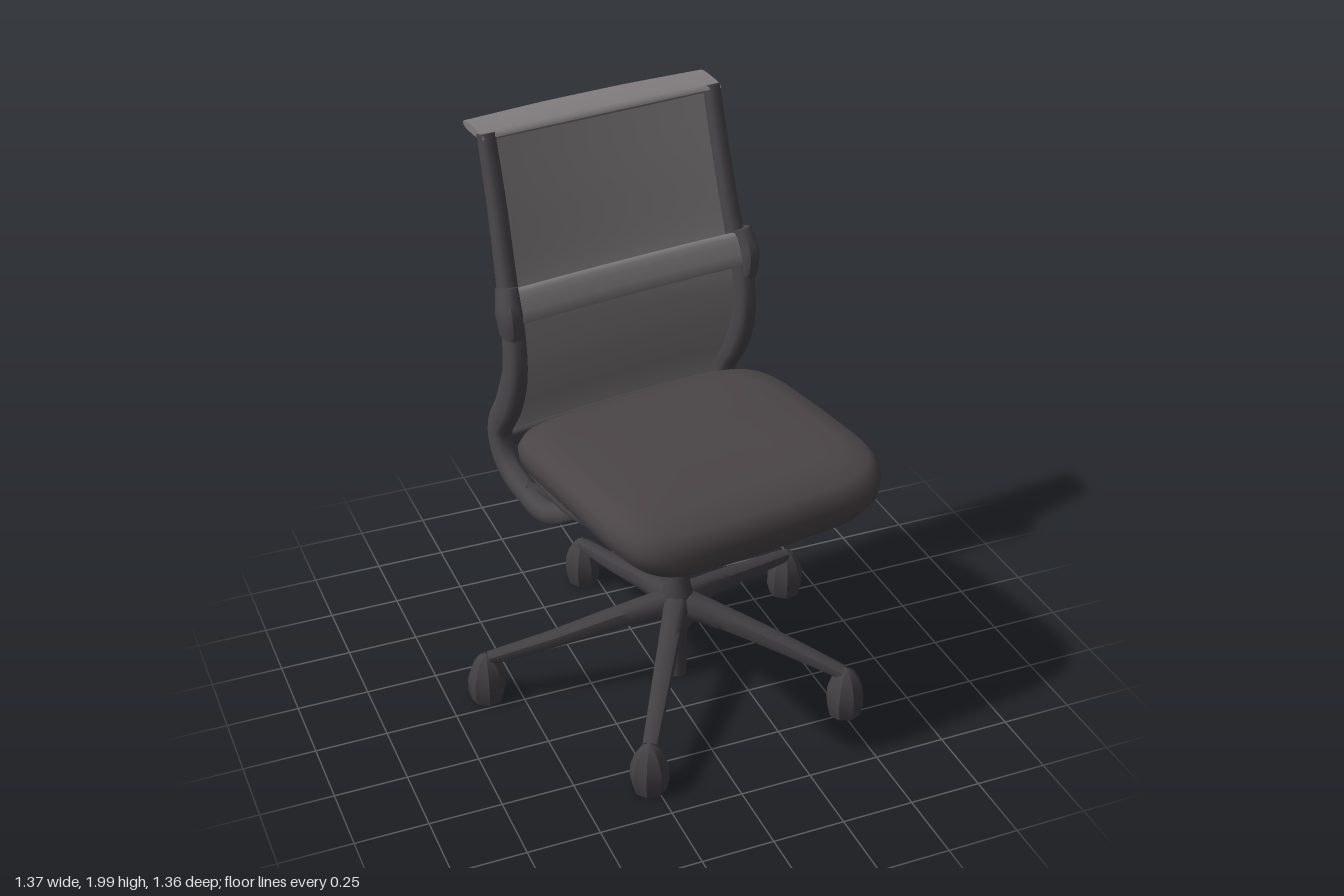
import * as THREE from 'three';
import { toCreasedNormals } from 'three/addons/utils/BufferGeometryUtils.js';

const V = (x, y, z) => new THREE.Vector3(x, y, z);
const material = (color) => new THREE.MeshStandardMaterial({ color, side: THREE.DoubleSide });
const FRAME = material(0x4a474b), MESH = material(0x827e80), SEAT = material(0x4b4547), BASE = material(0x434044);

function add(parent, name, geometry, mat, x = 0, y = 0, z = 0) {
  const mesh = new THREE.Mesh(geometry, mat);
  mesh.name = name;
  mesh.position.set(x, y, z);
  parent.add(mesh);
  return mesh;
}

// Skin a stack of closed rings; both ends are capped.
function loft(rings, crease = 0.8) {
  const centre = (r) => {
    const c = r.reduce((s, p) => s.add(p), V(0, 0, 0)).divideScalar(r.length);
    return r.map(() => c);
  };
  const all = [centre(rings[0]), ...rings, centre(rings[rings.length - 1])];
  const n = rings[0].length, pos = [], index = [];
  all.forEach((r) => r.forEach((p) => pos.push(p.x, p.y, p.z)));
  for (let i = 0; i < all.length - 1; i++) for (let j = 0; j < n; j++) {
    const k = (j + 1) % n, a = i * n + j, b = i * n + k;
    index.push(a, b, b + n, a, b + n, a + n);
  }
  const g = new THREE.BufferGeometry();
  g.setAttribute('position', new THREE.Float32BufferAttribute(pos, 3));
  g.setIndex(index);
  return toCreasedNormals(g, crease);
}

const power = (t, e) => Math.sign(t) * Math.abs(t) ** e;

// Sweep a rounded section along a curve; sizes are [half width along side, half thickness].
function sweep(points, side, sizes, steps = 32, sides = 14) {
  const curve = new THREE.CatmullRomCurve3(points), rings = [];
  for (let i = 0; i <= steps; i++) {
    const t = i / steps, f = t * (sizes.length - 1), k = Math.min(Math.floor(f), Math.max(sizes.length - 2, 0));
    const s0 = sizes[k], s1 = sizes[Math.min(k + 1, sizes.length - 1)], m = f - k;
    const T = curve.getTangent(t), S = side.clone().addScaledVector(T, -side.dot(T)).normalize();
    const N = T.clone().cross(S), P = curve.getPoint(t), ring = [];
    for (let j = 0; j < sides; j++) {
      const a = (j / sides) * Math.PI * 2;
      ring.push(P.clone()
        .addScaledVector(S, power(Math.cos(a), 0.7) * THREE.MathUtils.lerp(s0[0], s1[0], m))
        .addScaledVector(N, power(Math.sin(a), 0.7) * THREE.MathUtils.lerp(s0[1], s1[1], m)));
    }
    rings.push(ring);
  }
  return loft(rings);
}

// Rounded-square pad from levels [y, half width, z back, z front], drooping at front and back.
function pad(levels, droop = 0, sides = 56) {
  return loft(levels.map(([y, w, z0, z1]) => Array.from({ length: sides }, (_, j) => {
    const a = (j / sides) * Math.PI * 2;
    const x = power(Math.cos(a), 0.36) * w, z = (z0 + z1) / 2 - power(Math.sin(a), 0.36) * (z1 - z0) / 2;
    return V(x, y - droop * Math.max(0, (z - 0.38) / 0.2) ** 2 - droop * 0.6 * Math.max(0, -z / 0.3), z);
  })));
}

// Woven panel: profile points [y, z, half width], bowed backwards in the middle.
function panel(profile, bow) {
  const curve = new THREE.CatmullRomCurve3(profile.map(([y, z, w]) => V(w, y, z)));
  const g = new THREE.PlaneGeometry(2, 1, 16, 32), p = g.attributes.position;
  for (let i = 0; i < p.count; i++) {
    const u = p.getX(i), c = curve.getPoint(THREE.MathUtils.clamp(p.getY(i) + 0.5, 0, 1));
    p.setXYZ(i, u * c.x, c.y, c.z - bow * (1 - u * u));
  }
  g.computeVertexNormals();
  return g;
}

const lathe = (profile, sides) =>
  toCreasedNormals(new THREE.LatheGeometry(profile.map(([x, y]) => new THREE.Vector2(x, y)), sides), 0.6);

function buildBase(root) {
  const base = new THREE.Group();
  base.name = 'base';
  base.position.set(0.06, 0, 0.05);
  root.add(base);
  // Hub with tapered top and the lower end of the column
  add(base, 'hub', lathe([[0, 0.01], [0.034, 0.01], [0.036, 0.2], [0.06, 0.24], [0.066, 0.33], [0.048, 0.38],
    [0.036, 0.45], [0.018, 0.51], [0, 0.515]], 16), BASE);
  add(base, 'columnStub', new THREE.CylinderGeometry(0.028, 0.022, 0.08, 14), BASE, 0, 0.61, 0);
  // Five legs, each with a chunky castor
  [[-0.675, -0.115], [0.57, -0.31], [-0.11, -0.67], [-0.33, 0.555], [0.45, 0.435]].forEach(([x, z], i) => {
    const dir = V(x, 0, z).normalize(), side = V(-dir.z, 0, dir.x), r = Math.hypot(x, z);
    const at = (d, y) => dir.clone().multiplyScalar(d).setY(y);
    add(base, 'leg' + (i + 1), sweep([at(0.02, 0.315), at(0.2, 0.284), at(0.45, 0.222), at(r - 0.01, 0.175)], side,
      [[0.045, 0.055], [0.038, 0.037], [0.032, 0.027], [0.027, 0.02]], 14, 10), BASE);
    add(base, 'castor' + (i + 1), lathe([[0, 0.01], [0.056, 0.01], [0.066, 0.05], [0.066, 0.1], [0.052, 0.145],
      [0.03, 0.18], [0, 0.2]], 8), BASE, x, 0, z).rotation.y = -Math.atan2(z, x);
  });
}

function buildSeat(top) {
  // Cushion
  add(top, 'seatCushion', pad([
    [0.895, 0.4, -0.28, 0.5], [0.895, 0.465, -0.335, 0.575], [0.93, 0.495, -0.36, 0.592], [0.975, 0.503, -0.35, 0.592],
    [1.01, 0.495, -0.325, 0.58], [1.032, 0.47, -0.29, 0.555], [1.042, 0.4, -0.22, 0.48], [1.044, 0.2, -0.05, 0.3],
  ], 0.035), SEAT);
  // Pan beneath the cushion
  add(top, 'seatPan', pad([
    [0.785, 0.19, -0.16, 0.06], [0.81, 0.29, -0.22, 0.17], [0.84, 0.36, -0.28, 0.3], [0.875, 0.41, -0.32, 0.43], [0.905, 0.44, -0.32, 0.53],
  ]), FRAME);
  // Tilt mechanism
  add(top, 'tiltMechanism', sweep([V(0, 0.765, 0.3), V(0, 0.74, 0.13), V(0, 0.7, -0.05), V(0, 0.65, -0.23)],
    V(1, 0, 0), [[0.1, 0.045], [0.14, 0.055], [0.14, 0.06], [0.11, 0.035]]), FRAME);
  add(top, 'mechanismNeck', new THREE.CylinderGeometry(0.15, 0.12, 0.1, 16), FRAME, 0, 0.77, 0);
  for (const s of [-1, 1])
    add(top, s > 0 ? 'leftRail' : 'rightRail', sweep([V(s * 0.37, 0.85, -0.26), V(s * 0.36, 0.825, -0.04), V(s * 0.34, 0.87, 0.26)],
      V(1, 0, 0), [[0.07, 0.035]], 12, 10), FRAME);
}

function buildBack(top) {
  const back = new THREE.Group();
  back.name = 'backrest';
  back.position.x = 0.01;
  top.add(back);
  // Woven surface
  add(back, 'backMesh', panel([
    [0.86, -0.44, 0.44], [0.97, -0.43, 0.45], [1.08, -0.375, 0.455], [1.22, -0.33, 0.455], [1.38, -0.345, 0.45],
    [1.52, -0.39, 0.445], [1.75, -0.455, 0.435], [1.97, -0.52, 0.43]], 0.02), MESH);
  // Upright on each side, curling under the seat to a hooked end
  for (const s of [-1, 1]) {
    const name = s > 0 ? 'left' : 'right';
    add(back, name + 'Upright', sweep([
      V(s * 0.425, 1.98, -0.515), V(s * 0.428, 1.75, -0.45), V(s * 0.438, 1.5, -0.38), V(s * 0.446, 1.35, -0.33), V(s * 0.45, 1.2, -0.322),
      V(s * 0.452, 1.06, -0.372), V(s * 0.453, 0.92, -0.45), V(s * 0.453, 0.82, -0.41), V(s * 0.445, 0.755, -0.28),
      V(s * 0.425, 0.735, -0.15), V(s * 0.35, 0.775, -0.06), V(s * 0.26, 0.81, -0.03)],
    V(1, 0, 0), [[0.028, 0.03], [0.03, 0.036], [0.034, 0.046], [0.036, 0.054], [0.036, 0.048], [0.036, 0.037], [0.036, 0.034], [0.03, 0.026]], 64), FRAME);
    add(back, name + 'LumbarClip', sweep([V(s * 0.455, 1.34, -0.325), V(s * 0.46, 1.42, -0.33), V(s * 0.45, 1.5, -0.36)],
      V(1, 0, 0), [[0.032, 0.05], [0.036, 0.06], [0.032, 0.045]], 8, 10), FRAME);
  }
  // Cross pieces: top lip, lumbar band, lower bar
  const across = (name, w, y, z, bow, side, sizes, mat) => add(back, name,
    sweep([V(-w, y, z), V(-w / 2, y, z - bow * 0.75), V(0, y, z - bow), V(w / 2, y, z - bow * 0.75), V(w, y, z)], side, sizes, 24), mat);
  across('topLip', 0.45, 1.978, -0.555, 0.008, V(0, 0.1, -1), [[0.07, 0.014], [0.075, 0.017], [0.075, 0.017], [0.07, 0.014]], MESH);
  across('lumbarBand', 0.455, 1.44, -0.325, 0.008, V(0, 1, -0.4), [[0.06, 0.014]], MESH);
  across('lowerBar', 0.45, 0.88, -0.445, 0.015, V(0, 1, 0.3), [[0.035, 0.02]], FRAME);
  // Yoke blade sloping down and back, joining both uprights to the mechanism
  add(back, 'yoke', sweep([V(-0.45, 0.765, -0.3), V(-0.36, 0.715, -0.25), V(-0.18, 0.67, -0.19), V(0, 0.655, -0.16),
    V(0.18, 0.67, -0.19), V(0.36, 0.715, -0.25), V(0.45, 0.765, -0.3)],
  V(0, 0.5, 1), [[0.045, 0.03], [0.07, 0.028], [0.1, 0.026], [0.07, 0.028], [0.045, 0.03]], 36), FRAME);
}

export function createModel() {
  const root = new THREE.Group();
  root.name = 'officeChair';
  buildBase(root);
  // Seat and back are swivelled a little on the base
  const top = new THREE.Group();
  top.name = 'seatAndBack';
  top.position.set(0.06, 0, 0.05);
  top.rotation.y = 0.15;
  root.add(top);
  buildSeat(top);
  buildBack(top);
  return root;
}
